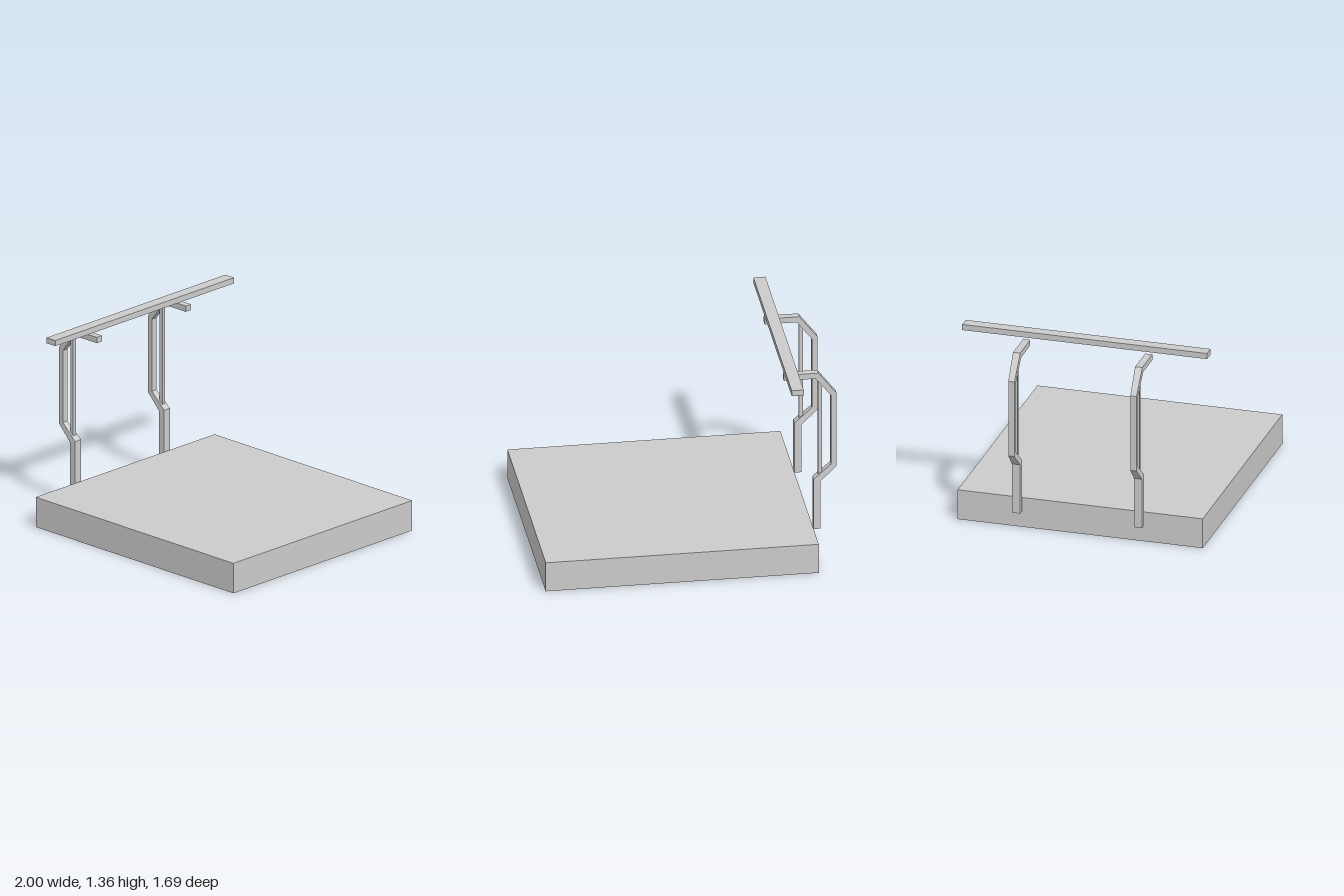
import * as THREE from 'three';

const material = new THREE.MeshStandardMaterial({ color: 0xcccccc, flatShading: true });

function box(name, [x0, x1], [y0, y1], [z0, z1]) {
  const mesh = new THREE.Mesh(new THREE.BoxGeometry(x1 - x0, y1 - y0, z1 - z0), material);
  mesh.position.set((x0 + x1) / 2, (y0 + y1) / 2, (z0 + z1) / 2);
  mesh.name = name;
  return mesh;
}

// Bent bar stations, from foot to tip: outer x, y, inner x, y, width along z
const STATIONS = [
  [-0.893, 0.125, -0.845, 0.125, 0.056],
  [-0.893, 0.475, -0.845, 0.49, 0.056],
  [-1, 0.577, -0.963, 0.592, 0.042],
  [-1, 1.112, -0.963, 1.097, 0.042],
  [-0.878, 1.27, -0.86, 1.23, 0.05],
  [-0.648, 1.27, -0.648, 1.23, 0.048],
];

// Rectangular cross-sections joined into a closed bar
function barGeometry() {
  const positions = [];
  const index = [];
  const quad = (a, b, c, d) => index.push(a, b, c, a, c, d);
  STATIONS.forEach(([ox, oy, ix, iy, w], s) => {
    const h = w / 2;
    positions.push(ox, oy, -h, ox, oy, h, ix, iy, h, ix, iy, -h);
    if (s === 0) return;
    const p = (s - 1) * 4;
    for (let k = 0; k < 4; k++) {
      const n = (k + 1) % 4;
      quad(p + k, p + n, p + 4 + n, p + 4 + k);
    }
  });
  const e = (STATIONS.length - 1) * 4;
  quad(3, 2, 1, 0);
  quad(e, e + 1, e + 2, e + 3);
  const indexed = new THREE.BufferGeometry();
  indexed.setAttribute('position', new THREE.Float32BufferAttribute(positions, 3));
  indexed.setIndex(index);
  const geometry = indexed.toNonIndexed();
  geometry.computeVertexNormals();
  return geometry;
}

export function createModel() {
  const model = new THREE.Group();
  model.name = 'platformWithRail';

  // Base slab and the long rail above its right edge
  model.add(box('platform', [-0.82, 1], [0, 0.21], [-0.843, 0.843]));
  model.add(box('rail', [-0.72, -0.64], [1.315, 1.355], [-0.843, 0.843]));

  // Two bent brackets, each with a slim upright strut
  const geometry = barGeometry();
  for (const side of [1, -1]) {
    const bracket = new THREE.Group();
    bracket.name = side > 0 ? 'frontBracket' : 'backBracket';
    const bar = new THREE.Mesh(geometry, material);
    bar.name = 'bentBar';
    bracket.add(bar, box('strut', [-0.904, -0.877], [0.515, 1.21], [-0.012, 0.012]));
    bracket.position.z = side * 0.42;
    model.add(bracket);
  }
  return model;
}
